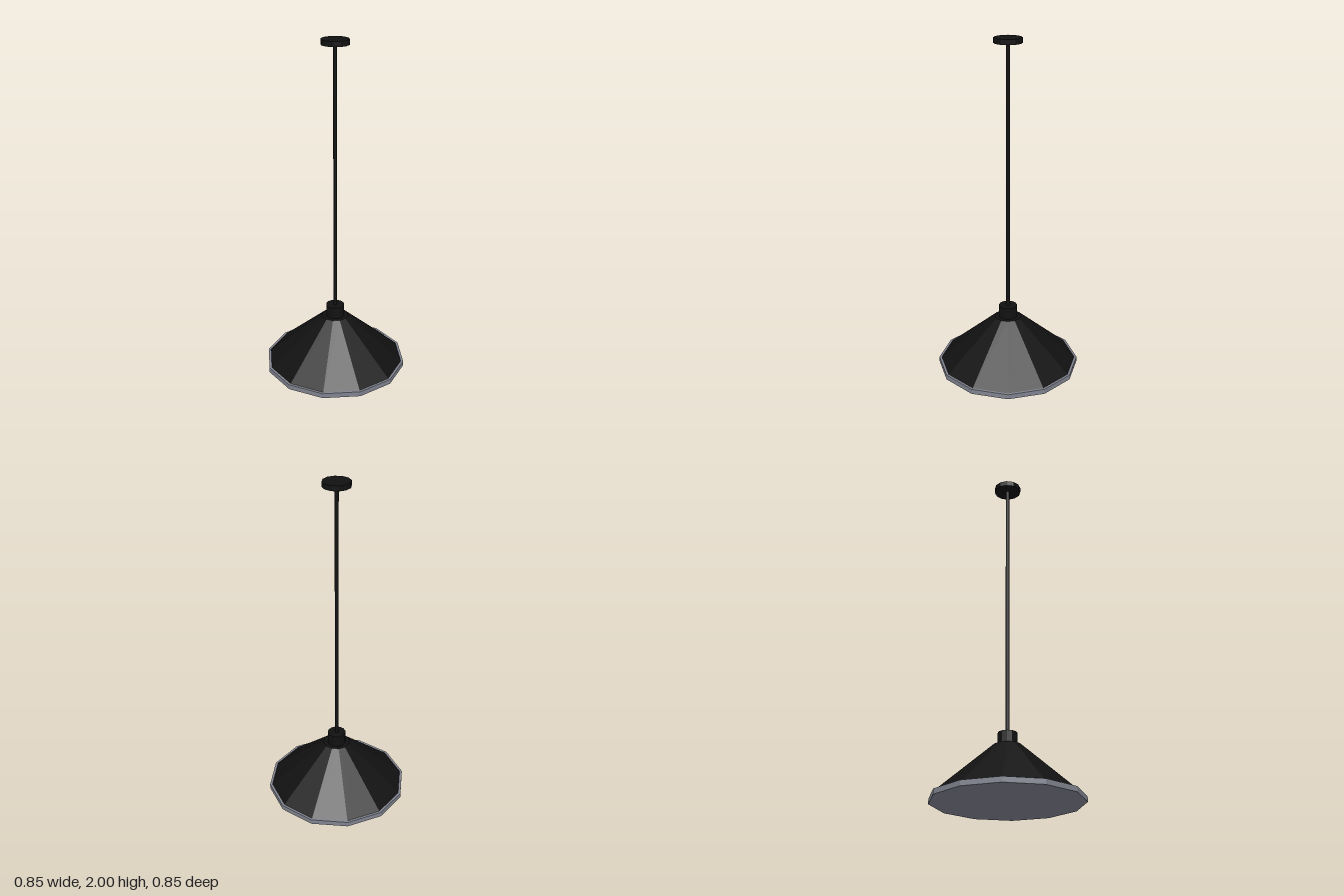
import * as THREE from 'three';

const SIDES = 12;

export function createModel() {
  const model = new THREE.Group();
  model.name = 'pendantLamp';

  const black = new THREE.MeshStandardMaterial({ color: 0x111111, flatShading: true });
  black.name = 'black metal';
  const grey = new THREE.MeshStandardMaterial({ color: 0x80838f, flatShading: true });
  grey.name = 'grey rim';

  // Upright faceted part between two heights
  function turned(name, bottomRadius, topRadius, bottom, top, material) {
    const geometry = new THREE.CylinderGeometry(topRadius, bottomRadius, top - bottom, SIDES);
    const mesh = new THREE.Mesh(geometry, material);
    mesh.name = name;
    mesh.position.y = (bottom + top) / 2;
    model.add(mesh);
  }

  // Closed rim disc under the shade
  turned('rim', 0.425, 0.425, 0, 0.03, grey);
  // Conical shade and the socket above it
  turned('shade', 0.41, 0.08, 0.03, 0.318, black);
  turned('socket', 0.055, 0.055, 0.318, 0.39, black);
  // Hanging rod and ceiling plate
  turned('rod', 0.011, 0.011, 0.39, 1.97, black);
  turned('ceilingPlate', 0.08, 0.08, 1.97, 2, black);

  return model;
}
